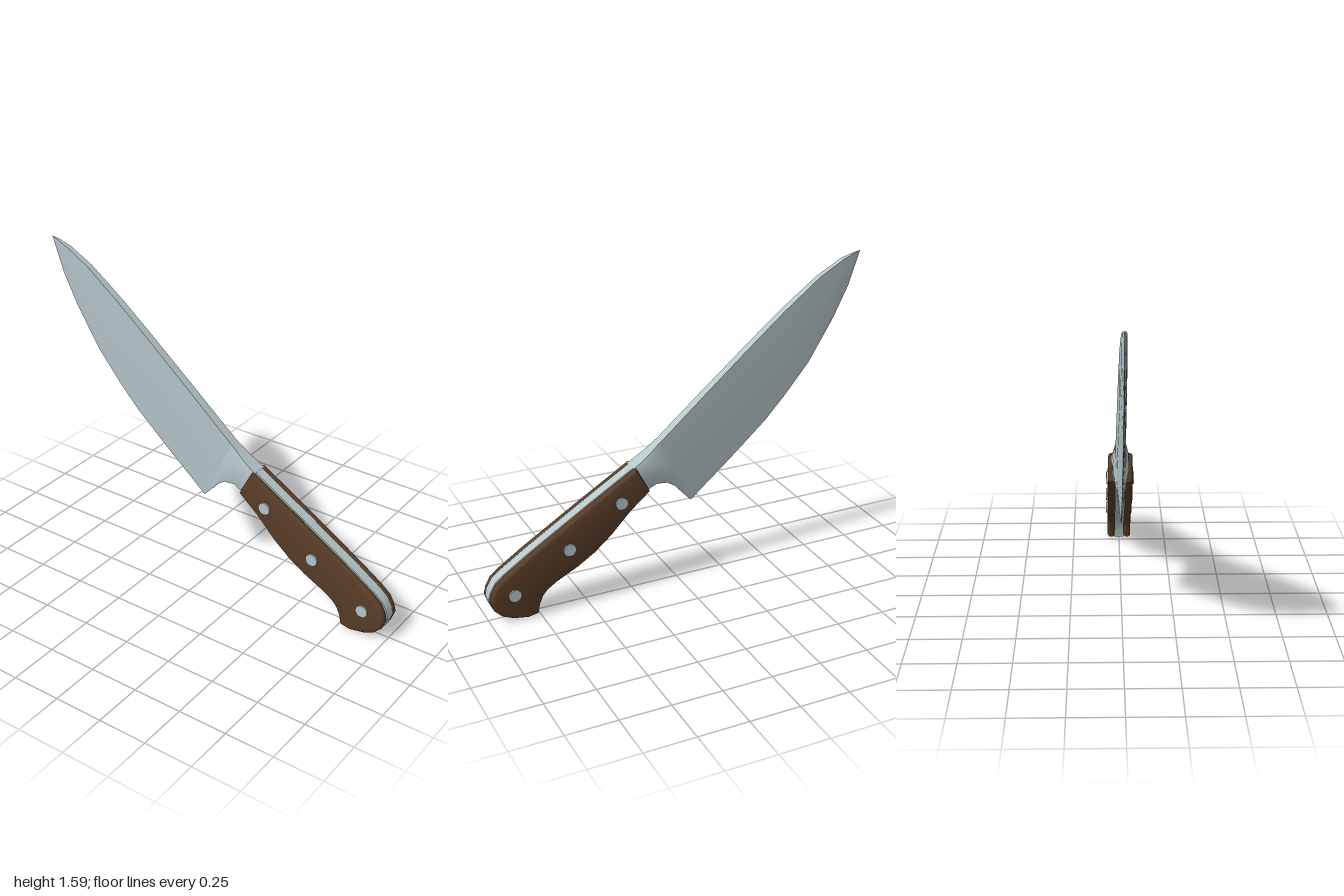
import * as THREE from 'three';
import { toCreasedNormals } from 'three/addons/utils/BufferGeometryUtils.js';

const steel = new THREE.MeshStandardMaterial({ color: 0xb6c6ca });
steel.name = 'steel';
const wood = new THREE.MeshStandardMaterial({ color: 0x5a3d28 });
wood.name = 'wood';

// Skin a list of equal-length closed rings (ordered towards +x) and cap both ends
function loft(rings, crease) {
  const n = rings[0].length;
  const index = [];
  for (let i = 0; i < rings.length - 1; i++) {
    for (let j = 0; j < n; j++) {
      const a = i * n + j, b = i * n + (j + 1) % n;
      index.push(a, b, b + n, a, b + n, a + n);
    }
  }
  const last = (rings.length - 1) * n;
  for (let j = 1; j < n - 1; j++) {
    index.push(0, j + 1, j, last, last + j, last + j + 1);
  }
  const g = new THREE.BufferGeometry();
  g.setAttribute('position', new THREE.Float32BufferAttribute(rings.flat(2), 3));
  g.setIndex(index);
  return toCreasedNormals(g, crease);
}

// Ring between a top and a bottom point; levels are [fraction down, half thickness]
function ring(top, bottom, levels) {
  const side = (s) => levels.map(([f, t]) => [
    top[0] + (bottom[0] - top[0]) * f,
    top[1] + (bottom[1] - top[1]) * f,
    s * t,
  ]);
  return [...side(1), ...side(-1).reverse()];
}

function add(group, name, geometry, material) {
  const mesh = new THREE.Mesh(geometry, material);
  mesh.name = name;
  group.add(mesh);
  return mesh;
}

export function createModel() {
  const knife = new THREE.Group();
  knife.name = 'chefKnife';

  // Blade: spine point, edge point, half thickness of the spine
  const stations = [
    [-1.0, 1.585, -0.998, 1.58, 0.001],
    [-0.955, 1.573, -0.94, 1.41, 0.008],
    [-0.9, 1.553, -0.86, 1.25, 0.013],
    [-0.77, 1.482, -0.73, 1.04, 0.016],
    [-0.68, 1.415, -0.6, 0.885, 0.018],
    [-0.58, 1.34, -0.49, 0.768, 0.019],
    [-0.4, 1.193, -0.29, 0.592, 0.021],
    [-0.15, 0.983, -0.18, 0.5, 0.023],
    [0.1, 0.77, -0.08, 0.415, 0.025],
  ];
  const blade = stations.map(([sx, sy, ex, ey, t]) =>
    ring([sx, sy], [ex, ey], [[0, t], [0.4, t * 0.85], [1, 0.0012]]));
  add(knife, 'blade', loft(blade, 0.12), steel);

  // Bolster: swells from the heel of the blade to the handle
  const bolster = [
    [[0.1, 0.772], [-0.08, 0.415], [0.025, 0.026, 0.017, 0.002]],
    [[0.118, 0.757], [-0.03, 0.468], [0.027, 0.033, 0.025, 0.009]],
    [[0.145, 0.735], [0.015, 0.52], [0.03, 0.039, 0.034, 0.018]],
    [[0.175, 0.713], [0.06, 0.55], [0.034, 0.042, 0.04, 0.025]],
    [[0.205, 0.692], [0.12, 0.56], [0.037, 0.044, 0.043, 0.031]],
    [[0.245, 0.668], [0.175, 0.535], [0.039, 0.045, 0.044, 0.035]],
  ].map(([top, bottom, t]) => ring(top, bottom,
    [[0, t[0]], [0.15, t[1]], [0.6, t[2]], [1, t[3]]]));
  add(knife, 'bolster', loft(bolster, 0.7), steel);

  // Handle outline shared by the tang and the two scales
  const top = [[0.235, 0.672], [0.5, 0.513], [0.8, 0.327], [0.92, 0.247]];
  const butt = [[0.965, 0.21], [0.99, 0.165], [1.0, 0.125], [0.982, 0.073],
    [0.945, 0.037], [0.89, 0.013], [0.815, 0.0], [0.762, 0.01]];
  const belly = [[0.752, 0.06], [0.735, 0.098], [0.71, 0.127], [0.66, 0.16],
    [0.55, 0.215], [0.46, 0.272], [0.37, 0.348], [0.27, 0.452], [0.165, 0.54]];
  const outline = new THREE.Shape(
    [...top, ...butt, ...belly].map(([x, y]) => new THREE.Vector2(x, y)));

  // Full tang
  const tang = new THREE.ExtrudeGeometry(outline, { depth: 0.052, bevelEnabled: false });
  tang.translate(0, 0, -0.026);
  add(knife, 'tang', toCreasedNormals(tang, 0.6), steel);

  // Wooden scales with a rounded outer rim
  const scale = new THREE.ExtrudeGeometry(outline, {
    depth: 0.004, bevelEnabled: true, bevelThickness: 0.017,
    bevelSize: 0.016, bevelOffset: -0.016, bevelSegments: 3,
  });
  // Square off the inner rim so it sits flush on the tang
  const p = scale.attributes.position;
  for (let i = 0; i < p.count; i++) {
    p.setZ(i, 0.0435 + p.getZ(i) - 0.002);
  }
  const scaleGeometry = toCreasedNormals(scale, 0.7);
  add(knife, 'leftScale', scaleGeometry, wood);
  add(knife, 'rightScale', scaleGeometry, wood).rotation.set(0, 0, 0);
  knife.getObjectByName('rightScale').position.z = -0.087;

  // Rivets pass right through the handle
  [[0.32, 0.51], [0.595, 0.322], [0.88, 0.142]].forEach(([x, y], i) => {
    const rivet = new THREE.CylinderGeometry(0.032, 0.032, 0.142, 16);
    rivet.rotateX(Math.PI / 2);
    add(knife, `rivet${i + 1}`, rivet, steel).position.set(x, y, 0);
  });

  return knife;
}
